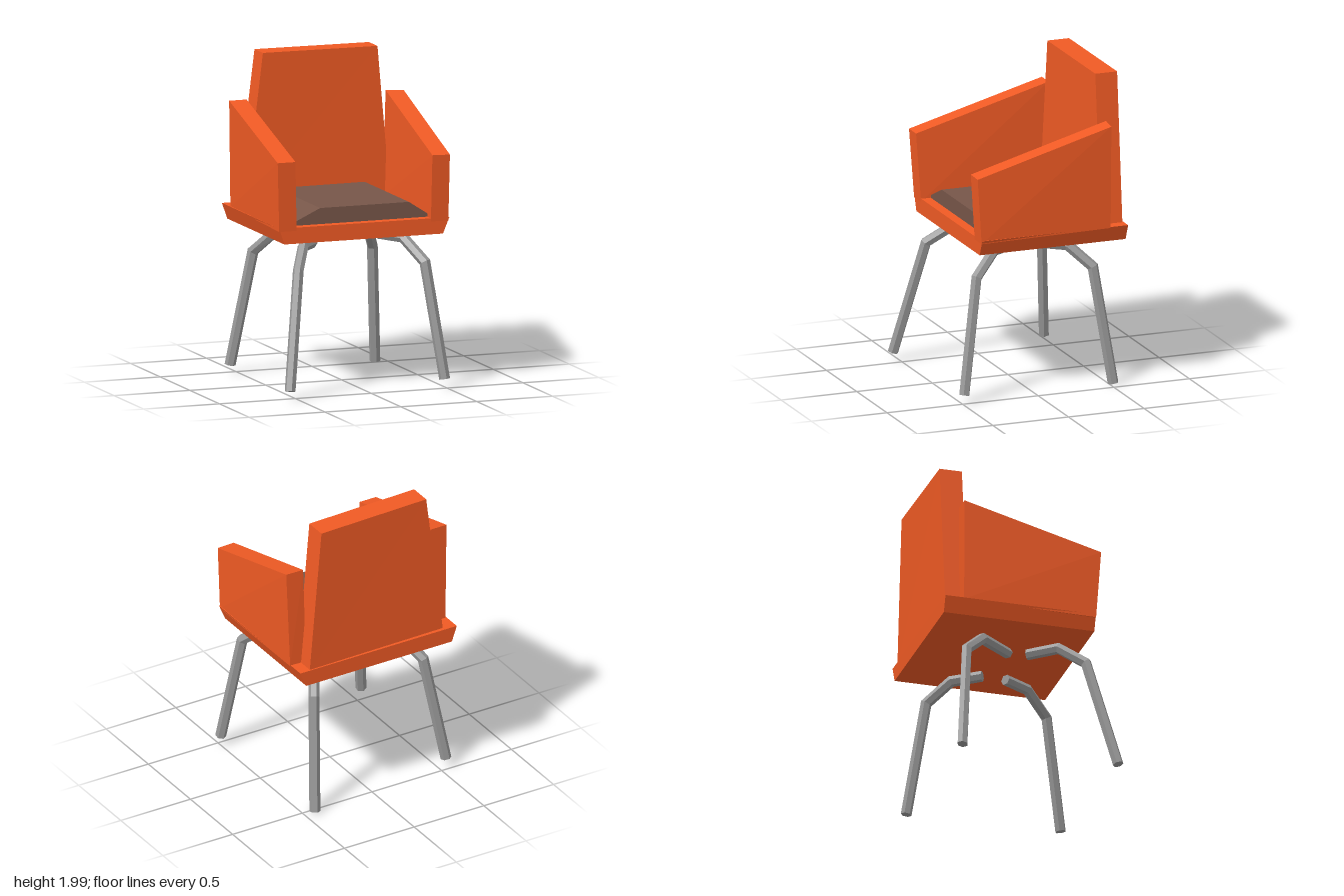
import * as THREE from 'three';

const orange = new THREE.MeshStandardMaterial({ color: 0xf05a24, flatShading: true });
const brown = new THREE.MeshStandardMaterial({ color: 0x775649, flatShading: true });
const metal = new THREE.MeshStandardMaterial({ color: 0x999999, flatShading: true });

// Closed solid through cross-sections; each ring runs counter-clockwise about the direction of travel
function loft(name, rings, material) {
  const pos = [];
  const tri = (...pts) => pts.forEach((p) => pos.push(...p));
  const n = rings[0].length;
  for (let r = 0; r < rings.length - 1; r++) {
    const a = rings[r], b = rings[r + 1];
    for (let i = 0; i < n; i++) {
      const j = (i + 1) % n;
      tri(a[i], a[j], b[j]);
      tri(a[i], b[j], b[i]);
    }
  }
  const first = rings[0], last = rings[rings.length - 1];
  for (let i = 1; i < n - 1; i++) {
    tri(first[0], first[i + 1], first[i]);
    tri(last[0], last[i], last[i + 1]);
  }
  const g = new THREE.BufferGeometry();
  g.setAttribute('position', new THREE.Float32BufferAttribute(pos, 3));
  g.computeVertexNormals();
  const mesh = new THREE.Mesh(g, material);
  mesh.name = name;
  return mesh;
}

// Straight prism along z from an x/y outline
function prism(name, outline, z0, z1, material) {
  return loft(name, [z0, z1].map((z) => outline.map(([x, y]) => [x, y, z])), material);
}

// Six-sided bent rod with mitred joints
function rod(name, path, radius, material) {
  const pts = path.map((p) => new THREE.Vector3(...p));
  const span = pts[pts.length - 1].clone().sub(pts[0]);
  const side = new THREE.Vector3(0, 1, 0).cross(span).normalize();
  const rings = pts.map((p, k) => {
    const before = p.clone().sub(pts[Math.max(k - 1, 0)]).normalize();
    const after = pts[Math.min(k + 1, pts.length - 1)].clone().sub(p).normalize();
    const t = before.clone().add(after).normalize();
    const stretch = 1 / Math.max(t.dot(after), t.dot(before));
    const v = t.clone().cross(side).normalize().multiplyScalar(stretch);
    return Array.from({ length: 6 }, (_, i) => {
      const a = (i * Math.PI) / 3;
      return p.clone()
        .addScaledVector(side, radius * Math.cos(a))
        .addScaledVector(v, radius * Math.sin(a))
        .toArray();
    });
  });
  return loft(name, rings, material);
}

export function createModel() {
  const chair = new THREE.Group();
  chair.name = 'armchair';

  // Seat tray with flared sides, and the bevelled cushion on it
  chair.add(prism('seatBase', [[-0.53, 0.95], [0.515, 0.95], [0.557, 1.05], [-0.565, 1.05]], -0.572, 0.393, orange));
  chair.add(prism('cushion', [[-0.46, 1.04], [0.45, 1.04], [0.445, 1.065], [0.315, 1.15], [-0.27, 1.15], [-0.455, 1.065]], -0.42, 0.33, brown));

  // Backrest, tapering upwards and slightly twisted
  chair.add(loft('backrest', [
    [[-0.48, 1.04, -0.405], [0.485, 1.04, -0.42], [0.485, 1.04, -0.563], [-0.48, 1.04, -0.548]],
    [[-0.36, 2, -0.405], [0.4, 1.992, -0.418], [0.4, 1.992, -0.562], [-0.36, 2, -0.548]],
  ], orange));

  // Armrests, each with a sloping top
  chair.add(loft('rightArmrest', [
    [[-0.565, 1.03, 0.394], [-0.45, 1.03, 0.394], [-0.45, 1.045, -0.45], [-0.557, 1.045, -0.45]],
    [[-0.585, 1.465, 0.42], [-0.468, 1.465, 0.42], [-0.45, 1.708, -0.45], [-0.565, 1.708, -0.45]],
  ], orange));
  chair.add(loft('leftArmrest', [
    [[0.435, 1.03, 0.394], [0.55, 1.03, 0.394], [0.56, 1.045, -0.455], [0.45, 1.045, -0.46]],
    [[0.435, 1.448, 0.42], [0.55, 1.445, 0.42], [0.585, 1.7, -0.45], [0.47, 1.705, -0.46]],
  ], orange));

  // Four bent legs, from the inner end out and down to the foot
  const legs = {
    frontLeftLeg: [[0.225, 0.912, 0.05], [0.32, 0.91, 0.22], [0.405, 0.775, 0.37], [0.49, 0.06, 0.485]],
    frontRightLeg: [[-0.215, 0.885, 0.055], [-0.34, 0.895, 0.22], [-0.43, 0.775, 0.37], [-0.55, 0.06, 0.54]],
    backLeftLeg: [[0.15, 0.88, -0.12], [0.285, 0.882, -0.28], [0.365, 0.75, -0.415], [0.425, 0.01, -0.525]],
    backRightLeg: [[-0.2, 0.885, -0.06], [-0.35, 0.892, -0.27], [-0.43, 0.77, -0.395], [-0.555, 0.06, -0.46]],
  };
  for (const [name, path] of Object.entries(legs)) chair.add(rod(name, path, 0.034, metal));

  return chair;
}
